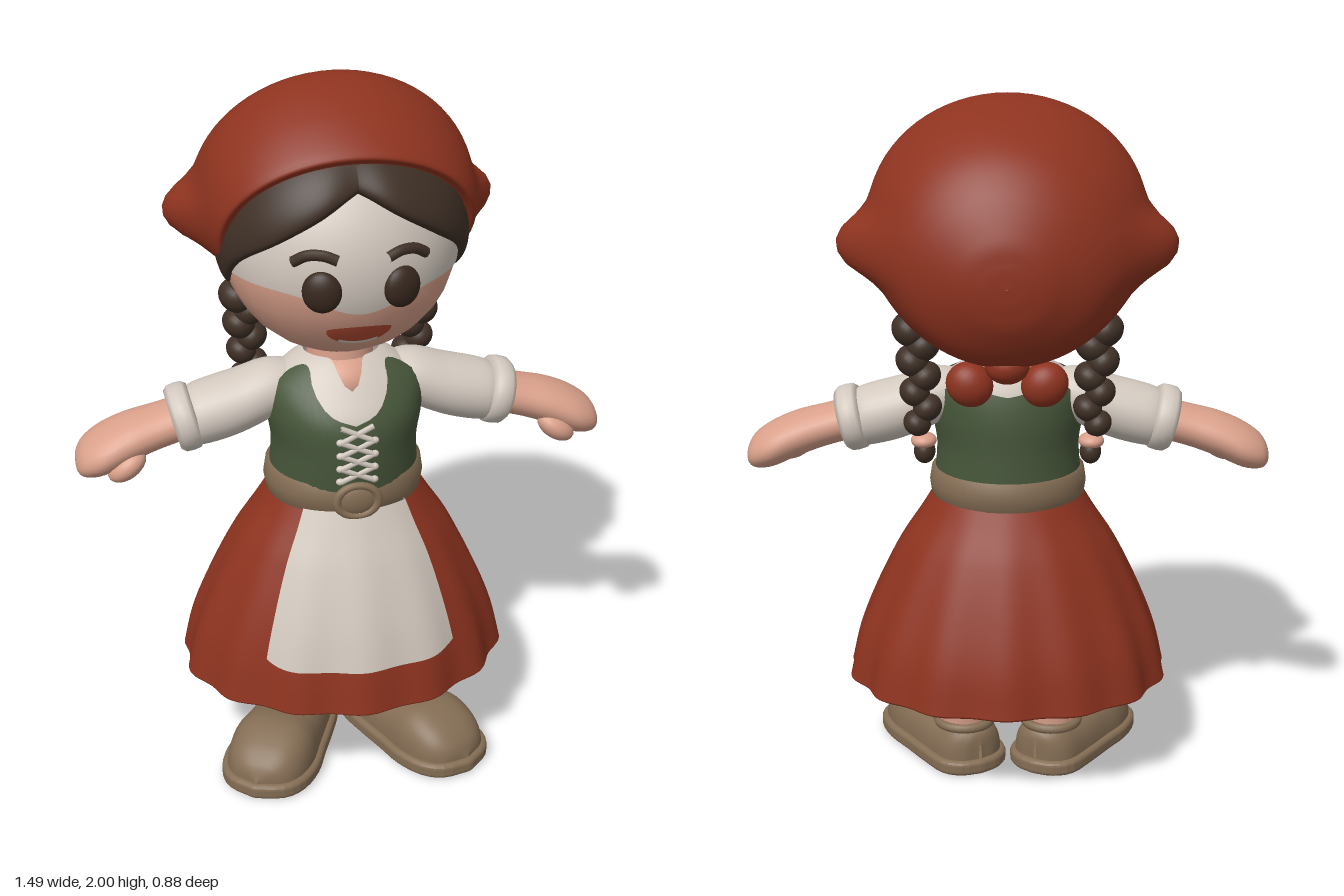
import * as THREE from 'three';
import { ParametricGeometry } from 'three/addons/geometries/ParametricGeometry.js';

const mat = (name, color) => {
  const m = new THREE.MeshStandardMaterial({ color, side: THREE.DoubleSide });
  m.name = name;
  return m;
};
const { sin, cos, abs, sqrt, sign, exp, PI, pow, max } = Math;

// Smooth lookup in a table whose first column is the key
function at(rows, k) {
  let i = 0;
  while (i < rows.length - 2 && k > rows[i + 1][0]) i++;
  const slope = (j, c) => {
    const a = rows[max(j - 1, 0)], b = rows[Math.min(j + 1, rows.length - 1)];
    return (b[c] - a[c]) / (b[0] - a[0]);
  };
  const p = rows[i], q = rows[i + 1], h = q[0] - p[0], t = (k - p[0]) / h, t2 = t * t, t3 = t2 * t;
  return p.map((_, c) => c === 0 ? k : (2 * t3 - 3 * t2 + 1) * p[c] + (t3 - 2 * t2 + t) * h * slope(i, c)
    + (3 * t2 - 2 * t3) * q[c] + (t3 - t2) * h * slope(i + 1, c));
}
const keyed = rows => rows.map((r, i) => [i / (rows.length - 1), ...r]);

// Head ellipsoid shared by the face, hair and painted features
const HC = [0, 1.56, 0.03], HR = [0.32, 0.31, 0.31];
const faceZ = (x, y) => HC[2] + HR[2] * sqrt(max(0, 1 - (x / HR[0]) ** 2 - ((y - HC[1]) / HR[1]) ** 2));

// Body cross-sections: y, half width, half depth, centre z
const TORSO = [[0.86, 0.2, 0.175, 0.08], [1.0, 0.188, 0.178, 0.088], [1.1, 0.203, 0.174, 0.085],
  [1.18, 0.2, 0.14, 0.067], [1.235, 0.14, 0.102, 0.055], [1.26, 0.08, 0.075, 0.045]];
const SKIRT = [[0.295, 0.465, 0.37, 0.06], [0.42, 0.437, 0.348, 0.06], [0.55, 0.388, 0.312, 0.065],
  [0.7, 0.315, 0.257, 0.07], [0.8, 0.25, 0.21, 0.075], [0.87, 0.208, 0.177, 0.078]];
const NECKLINE = [[0, 1.1], [0.35, 1.13], [0.7, 1.22], [1.1, 1.225], [1.57, 1.15], [2.2, 1.2], [PI, 1.17]];

function skirtPoint(a, y, grow, p) {
  const [, rx, rz, cz] = at(SKIRT, y), t = (0.87 - y) / 0.575;
  const k = 1 + t * (0.02 * cos(14 * a) + 0.008 * sin(5 * a + 1));
  return p.set((rx * k + grow) * sin(a), y - 0.014 * t * max(0, cos(a)), cz + (rz * k + grow) * cos(a));
}

export function createModel() {
  const root = new THREE.Group();
  const red = mat('redCloth', 0x8e331f), white = mat('whiteCloth', 0xd2c8be), skin = mat('skin', 0xd9a08a);
  const green = mat('greenCloth', 0x47563a), tan = mat('tanLeather', 0x846d54), hair = mat('brownHair', 0x3f3026);
  const eye = mat('darkEye', 0x38281e), lip = mat('redLip', 0xb04a32);

  const add = (name, geo, m, parent = root, pos = [0, 0, 0], rot = [0, 0, 0], scale = [1, 1, 1]) => {
    const mesh = new THREE.Mesh(geo, m);
    mesh.name = name;
    mesh.position.set(...pos);
    mesh.rotation.set(...rot);
    mesh.scale.set(...scale);
    parent.add(mesh);
    return mesh;
  };
  const surf = (name, m, nu, nv, fn, parent) => add(name, new ParametricGeometry(fn, nu, nv), m, parent);
  const ball = (name, m, parent, pos, radii, rot) =>
    add(name, new THREE.SphereGeometry(1, 24, 16), m, parent, pos, rot, radii);
  const rod = (name, m, parent, a, b, r) => add(name, new THREE.TubeGeometry(
    new THREE.LineCurve3(new THREE.Vector3(...a), new THREE.Vector3(...b)), 1, r, 6), m, parent);
  const ang = u => (u - 0.5) * 2 * PI;

  // Head and the pale upper face
  ball('head', skin, root, HC, HR);
  surf('upperFace', white, 48, 12, (u, v, p) => {
    const a = (u - 0.5) * 3, low = 1.515 - 0.06 * exp(-((a / 0.4) ** 2)), y = low + v * (1.8 - low);
    const s = 1.008 * sqrt(1 - ((y - HC[1]) / HR[1]) ** 2);
    p.set(HR[0] * s * sin(a), y, HC[2] + HR[2] * s * cos(a));
  });

  // Mouth patches laid on the face
  const mouth = (name, m, half, lower, upper, lift) => surf(name, m, 24, 4, (u, v, p) => {
    const s = -cos(u * PI), x = s * half, y = lower(s) + v * (upper(s) - lower(s));
    p.set(x, y, faceZ(x, y) + lift);
  });
  const lipLow = s => 1.4 - 0.05 * sqrt(max(0, 1 - s * s));
  mouth('mouth', lip, 0.087, lipLow, s => 1.4 + 0.014 * sqrt(max(0, 1 - s * s)), 0.005);
  mouth('teeth', white, 0.052, s => lipLow(s * 0.6), s => lipLow(s * 0.6) + 0.01, 0.008);

  // Head scarf: tilted rings from the front rim to the back (top y,z, bottom y,z, half width)
  const SCARF = keyed([[1.835, 0.25, 1.42, 0.03, 0.315], [1.865, 0.262, 1.38, 0.01, 0.345], [1.945, 0.15, 1.36, -0.05, 0.37],
    [2.0, 0, 1.34, -0.1, 0.38], [1.965, -0.14, 1.32, -0.18, 0.375], [1.89, -0.28, 1.31, -0.26, 0.325],
    [1.8, -0.365, 1.34, -0.345, 0.25], [1.69, -0.42, 1.43, -0.41, 0.14], [1.62, -0.435, 1.5, -0.432, 0.07],
    [1.56, -0.438, 1.558, -0.438, 0.002]]);
  surf('headScarf', red, 72, 60, (u, v, p) => {
    const [, ty, tz, by, bz, w] = at(SCARF, v), a = ang(u), c = (cos(a) + 1) / 2;
    const y = by + (ty - by) * c, z = bz + (tz - bz) * c, x = w * sin(a);
    const bump = 0.083 * exp(-(((y - 1.605) / (y < 1.605 ? 0.085 : 0.1)) ** 4 + ((y - 1.605) / 0.12) ** 2) - ((z + 0.12) / 0.12) ** 2);
    p.set(x + bump * sin(a), y, z);
  });
  ball('scarfKnot', red, root, [0, 1.32, -0.28], [0.06, 0.05, 0.06]);

  // Neck, chest, notched blouse and bodice
  add('neck', new THREE.CylinderGeometry(0.085, 0.1, 0.2, 24), skin, root, [0, 1.23, 0.035]);
  ball('chest', skin, root, [0, 1.17, 0.06], [0.12, 0.085, 0.115]);
  surf('blouse', white, 64, 20, (u, v, p) => {
    const a = ang(u), top = 1.25 - 0.07 * exp(-((a / 0.22) ** 2));
    const [y, rx, rz, cz] = at(TORSO, 0.86 + (top - 0.86) * v);
    p.set(rx * sin(a), y, cz + rz * cos(a));
  });
  surf('bodice', green, 64, 16, (u, v, p) => {
    const a = ang(u), top = at(NECKLINE, abs(a))[1];
    const [y, rx, rz, cz] = at(TORSO, 0.88 + (top - 0.88) * v);
    const g = v > 0.99 ? 0 : 0.016;
    p.set((rx + g) * sin(a), y, cz + (rz + g) * cos(a));
  });

  // Crossed lacing
  const laceZ = y => { const r = at(TORSO, y); return r[2] + r[3] + 0.016; };
  for (let i = 0; i < 4; i++) {
    const y = 0.945 + i * 0.04;
    for (const s of [-1, 1]) {
      rod('lace', white, root, [-0.045 * s, y, laceZ(y)], [0.045 * s, y + 0.04, laceZ(y + 0.04)], 0.008);
      ball('laceEnd', white, root, [0.047 * s, y, laceZ(y) - 0.003], [0.012, 0.01, 0.01]);
    }
  }

  // Belt and round buckle
  const beltProfile = [[0.95, -0.045], [1.02, -0.042], [1.05, 0], [1.02, 0.042], [0.95, 0.045]];
  add('belt', new THREE.LatheGeometry(beltProfile.map(q => new THREE.Vector2(...q)), 48), tan, root,
    [0, 0.885, 0.08], [0, 0, 0], [0.215, 1, 0.189]);
  ball('buckle', tan, root, [0, 0.885, 0.27], [0.06, 0.05, 0.025]);
  add('buckleRim', new THREE.TorusGeometry(0.055, 0.012, 10, 28), tan, root, [0, 0.885, 0.282], [0, 0, 0], [1.05, 0.85, 1]);

  // Pleated skirt with a turned hem and closed underside, and apron
  surf('skirt', red, 112, 20, (u, v, p) => skirtPoint(ang(u), 0.3 + 0.57 * v, 0, p));
  surf('skirtHem', red, 112, 6, (u, v, p) => {
    const b = v * PI;
    skirtPoint(ang(u), 0.3, -0.016 + 0.016 * cos(b), p);
    p.y -= 0.01 * sin(b);
  });
  surf('skirtUnderside', red, 112, 10, (u, v, p) => {
    skirtPoint(ang(u), 0.3, -0.032, p);
    const k = 1 - 0.99 * v * v;
    p.set(p.x * k, p.y + 0.07 * sin(v * PI / 2), 0.06 + (p.z - 0.06) * k);
  });
  surf('apron', white, 40, 20, (u, v, p) => {
    const edge = u < 0.001 || u > 0.999 || v < 0.001;
    const a = (u - 0.5) * 1.36, corner = 0.02 * pow(abs(2 * u - 1), 10) * (1 - v);
    skirtPoint(a, 0.42 + corner + 0.435 * v, edge ? 0.002 : 0.022, p);
  });

  // Everything that is mirrored left and right
  const limb = (name, m, rows, parent) => {
    const table = keyed(rows);
    surf(name, m, 28, 24, (u, v, p) => {
      const [, x, y, ry, rz] = at(table, v), a = ang(u);
      p.set(x, y + ry * cos(a), 0.055 + rz * sin(a));
    }, parent);
  };
  const HAIR_IN = keyed([[0, 1.775, 0.28], [0.1, 1.705, 0.29], [0.2, 1.635, 0.25], [0.285, 1.56, 0.16], [0.315, 1.47, 0.07]]);
  const HAIR_OUT = keyed([[0, 1.87, 0.2], [0.12, 1.86, 0.18], [0.22, 1.8, 0.14], [0.29, 1.68, 0.08], [0.32, 1.48, 0.02]]);
  const SHOE = keyed([[-0.082, 0.005, 0.09], [-0.07, 0.055, 0.125], [-0.03, 0.094, 0.145], [0.06, 0.108, 0.142],
    [0.16, 0.117, 0.152], [0.25, 0.126, 0.163], [0.33, 0.113, 0.135], [0.38, 0.075, 0.095], [0.403, 0.005, 0.05]]);

  for (const side of [1, -1]) {
    const half = new THREE.Group();
    half.name = side > 0 ? 'leftSide' : 'rightSide';
    half.scale.x = side;
    root.add(half);

    // Eye, brow and swept hair with a full rolled edge
    ball('eye', eye, half, [0.105, 1.525, 0.322], [0.052, 0.057, 0.03], [0, 0.3, 0]);
    const brow = [[0.065, 1.61], [0.1, 1.622], [0.14, 1.62], [0.175, 1.6]]
      .map(([x, y]) => new THREE.Vector3(x, y, faceZ(x, y) + 0.002));
    add('eyebrow', new THREE.TubeGeometry(new THREE.CatmullRomCurve3(brow), 16, 0.015, 8), hair, half);
    surf('frontHair', hair, 32, 32, (u, v, p) => {
      const a = at(HAIR_IN, u), b = at(HAIR_OUT, u), t = v * v;
      const d = [1, 2, 3].map(c => a[c] + (b[c] - a[c]) * t - HC[c - 1]);
      const full = 0.145 - 0.11 * pow(u, 4) - 0.05 * exp(-((u / 0.12) ** 2)) * (1 - t);
      const k = (1 + full * pow(sin(v * PI / 2), 0.4)) / Math.hypot(...d.map((e, c) => e / HR[c]));
      p.set(d[0] * k, HC[1] + d[1] * k, HC[2] + d[2] * k);
    }, half);

    // Braid with tie and tuft
    for (let i = 0; i < 8; i++) {
      const s = i % 2 ? 1 : -1, r = 0.064 - 0.0025 * i;
      ball('braidStrand', hair, half, [0.255 + 0.016 * s - 0.003 * i, 1.41 - 0.043 * i, -0.075 - 0.005 * i],
        [r * 0.85, r * 0.75, r * 0.95], [0, 0, 0.6 * s]);
    }
    ball('braidTie', skin, half, [0.232, 1.06, -0.112], [0.036, 0.022, 0.04]);
    ball('braidTuft', hair, half, [0.23, 1.03, -0.115], [0.03, 0.035, 0.035]);
    ball('scarfTail', red, half, [0.1, 1.265, -0.27], [0.065, 0.06, 0.05], [0, 0, 0.6]);

    // Sleeve, rolled cuff, forearm and mitten hand
    limb('sleeve', white, [[0.1, 1.165, 0.045, 0.065], [0.2, 1.145, 0.082, 0.09], [0.3, 1.11, 0.09, 0.1],
      [0.4, 1.085, 0.088, 0.097], [0.44, 1.08, 0.075, 0.08]], half);
    const cuff = [[0.06, -0.03], [0.092, -0.033], [0.104, -0.02], [0.106, 0], [0.104, 0.02], [0.092, 0.033], [0.06, 0.03]];
    add('cuff', new THREE.LatheGeometry(cuff.map(q => new THREE.Vector2(...q)), 32), white, half,
      [0.442, 1.077, 0.055], [0, 0, -PI / 2 - 0.25], [0.9, 1, 1]);
    limb('forearm', skin, [[0.43, 1.08, 0.06, 0.078], [0.52, 1.055, 0.06, 0.085], [0.6, 1.03, 0.064, 0.097],
      [0.67, 1.0, 0.064, 0.102], [0.72, 0.98, 0.05, 0.08], [0.742, 0.97, 0.026, 0.045], [0.746, 0.968, 0.001, 0.001]], half);
    ball('thumb', skin, half, [0.61, 0.975, 0.122], [0.06, 0.035, 0.045], [0, 0, -0.6]);

    // Leg with ankle cord
    add('leg', new THREE.CylinderGeometry(0.095, 0.075, 0.3, 24), skin, half, [0.135, 0.27, 0.045]);
    add('ankleCord', new THREE.TorusGeometry(0.083, 0.011, 8, 28), tan, half, [0.135, 0.195, 0.045], [PI / 2 + 0.15, 0.1, 0]);

    // Splayed shoe: rounded upper on a flared sole
    const shoe = new THREE.Group();
    shoe.name = 'shoe';
    shoe.position.set(0.12, 0, 0.022);
    shoe.rotation.y = 0.5;
    half.add(shoe);
    surf('shoeUpper', tan, 28, 32, (u, v, p) => {
      const [, z, w, h] = at(SHOE, v), a = PI * (1 - u);
      p.set(w * sign(cos(a)) * pow(abs(cos(a)), 0.7), 0.02 + (h - 0.02) * pow(max(0, sin(a)), 0.7), z);
    }, shoe);
    const outline = [];
    for (let i = 0; i <= 24; i++) { const r = at(SHOE, i / 24); outline.push(new THREE.Vector2(r[2], -r[1])); }
    for (let i = 24; i >= 0; i--) { const r = at(SHOE, i / 24); outline.push(new THREE.Vector2(-r[2], -r[1])); }
    add('shoeSole', new THREE.ExtrudeGeometry(new THREE.Shape(outline), { depth: 0.018, bevelThickness: 0.014,
      bevelSize: 0.016, bevelSegments: 4 }), tan, shoe, [0, 0.014, 0], [-PI / 2, 0, 0]);
    add('shoeCollar', new THREE.TorusGeometry(0.08, 0.014, 8, 28), tan, shoe, [0, 0.138, 0.02], [PI / 2, 0, 0]);
  }
  return root;
}
